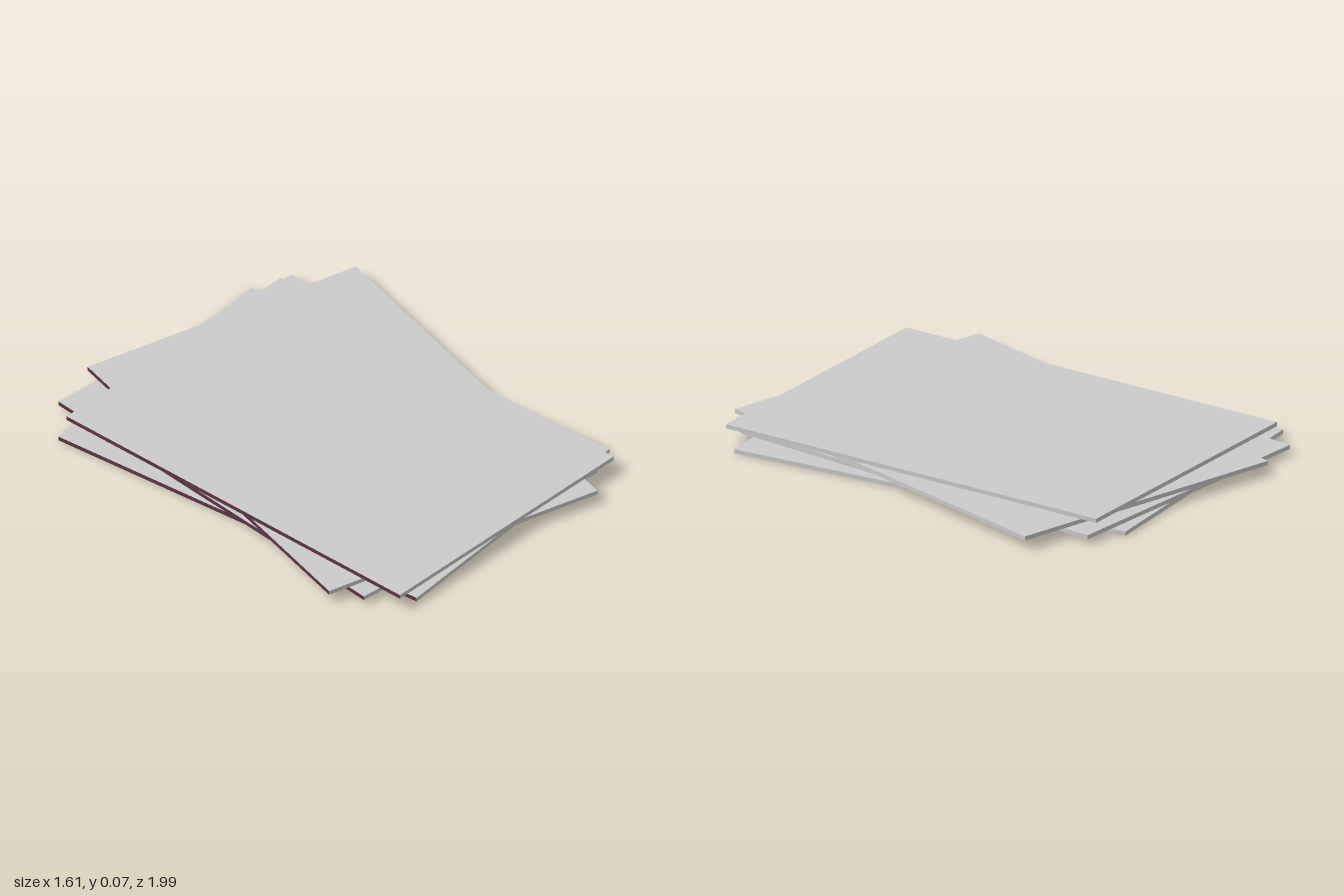
import * as THREE from 'three';

const WIDTH = 1.24, LENGTH = 1.757, THICK = 0.0175, PITCH = 0.0187;

// Placement of each card from the bottom up: centre x, centre z, turn about y
const CARDS = [
  [-0.053, 0.006, 0.122],
  [-0.053, -0.028, -0.051],
  [0, 0, -0.231],
  [-0.061, 0.047, 0.036],
];

export function createModel() {
  const group = new THREE.Group();
  group.name = 'cardStack';

  const face = new THREE.MeshStandardMaterial({ color: 0xcccccc });
  const back = new THREE.MeshStandardMaterial({ color: 0x5e3545 });

  // Box sides in order +x, -x, +y, -y, +z, -z: coloured underside and right edge
  const sides = [face, back, face, back, face, face];
  const geometry = new THREE.BoxGeometry(WIDTH, THICK, LENGTH);

  CARDS.forEach(([x, z, turn], i) => {
    const card = new THREE.Mesh(geometry, sides);
    card.name = `card${i + 1}`;
    card.position.set(x, THICK / 2 + i * PITCH, z);
    card.rotation.y = turn;
    group.add(card);
  });

  return group;
}
